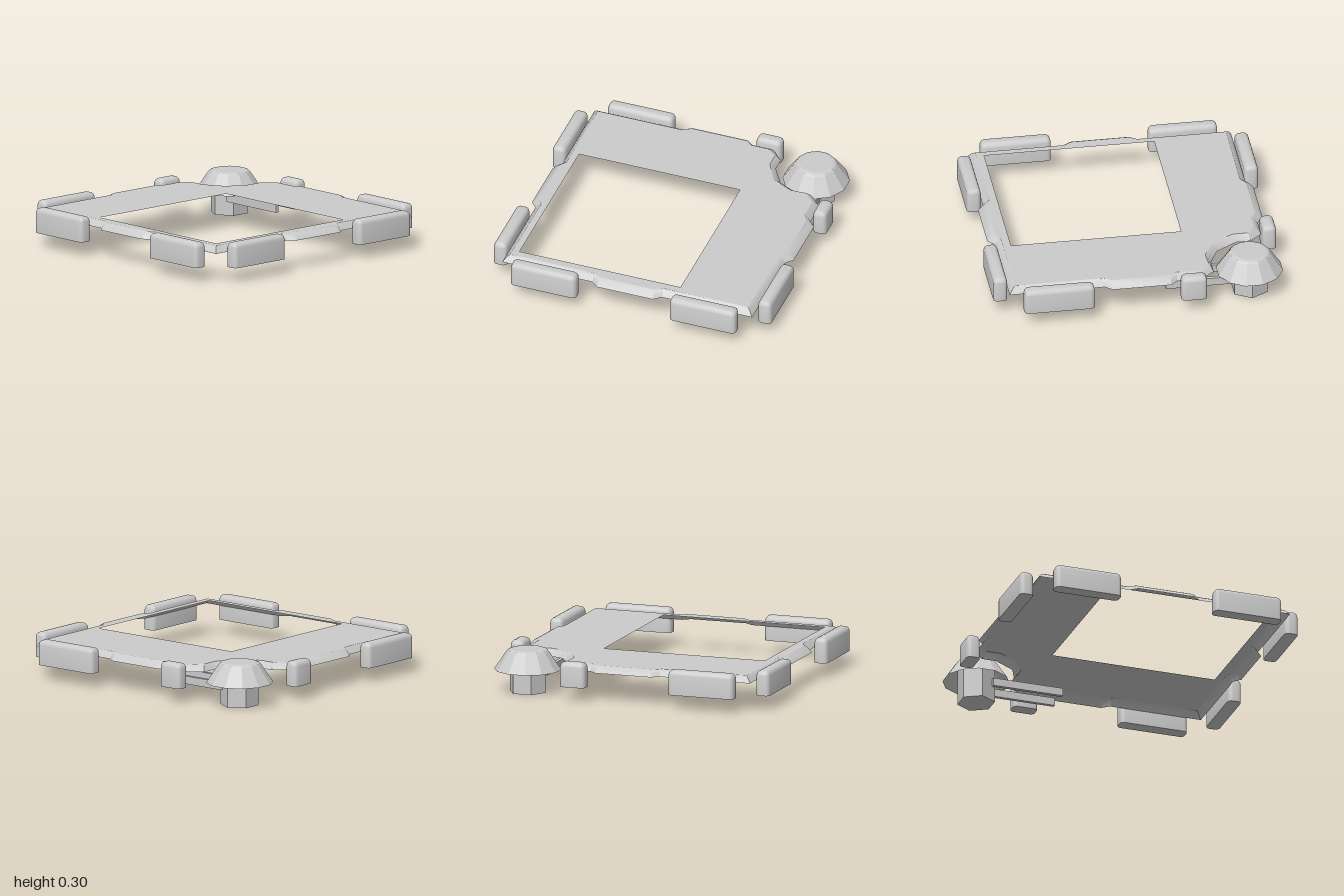
import * as THREE from 'three';
import { toCreasedNormals } from 'three/addons/utils/BufferGeometryUtils.js';

const grey = new THREE.MeshStandardMaterial({ color: 0xcccccc, side: THREE.DoubleSide });
const flatGrey = new THREE.MeshStandardMaterial({ color: 0xcccccc, side: THREE.DoubleSide, flatShading: true });

function part(group, name, geometry, material = grey) {
  const mesh = new THREE.Mesh(geometry, material);
  mesh.name = name;
  group.add(mesh);
  return mesh;
}

// Skin over closed rings of [x, y, z], listed from bottom to top, clockwise from above
function loft(rings, crease) {
  const pos = [];
  const n = rings[0].length;
  for (let r = 0; r < rings.length - 1; r++) {
    const a = rings[r], b = rings[r + 1];
    for (let i = 0; i < n; i++) {
      const j = (i + 1) % n;
      pos.push(...a[i], ...b[i], ...b[j], ...a[i], ...b[j], ...a[j]);
    }
  }
  const g = new THREE.BufferGeometry();
  g.setAttribute('position', new THREE.Float32BufferAttribute(pos, 3));
  g.computeVertexNormals();
  return toCreasedNormals(g, crease);
}

// Rounded rectangle ring centred on cx, cz
function roundedRing(cx, cz, w, d, r, y) {
  const ring = [];
  const corners = [[1, 1], [-1, 1], [-1, -1], [1, -1]];
  corners.forEach(([sx, sz], q) => {
    for (let k = 0; k <= 4; k++) {
      const a = (q + k / 4) * Math.PI / 2;
      ring.push([cx + sx * (w / 2 - r) + r * Math.cos(a), y, cz + sz * (d / 2 - r) + r * Math.sin(a)]);
    }
  });
  return ring;
}

// Upright pad with straight sides and a rounded top edge
function padGeometry(x0, x1, z0, z1) {
  const cx = (x0 + x1) / 2, cz = (z0 + z1) / 2, w = x1 - x0, d = z1 - z0;
  const ring = (inset, y) => roundedRing(cx, cz, w - 2 * inset, d - 2 * inset, Math.max(0.03 - inset * 0.8, 0.002), y);
  const centre = y => ring(0, y).map(() => [cx, y, cz]);
  return loft([centre(0.1), ring(0, 0.1), ring(0, 0.238), ring(0.005, 0.254),
    ring(0.016, 0.266), ring(0.03, 0.27), centre(0.27)], 0.7);
}

export function createModel() {
  const model = new THREE.Group();

  // Plate outline: lower edge and raised inner edge, one side turned four times
  const lower = [], upper = [];
  const lowerSide = [[-0.9, 0.9], [-0.25, 0.9], [-0.2, 0.943], [0.2, 0.943], [0.25, 0.9]];
  const upperSide = [[-0.857, 0.857], [-0.25, 0.857], [-0.2, 0.89], [0.2, 0.89], [0.25, 0.857]];
  // Notched corner around the knob
  const lowerNotch = [[0.40, -0.9], [0.475, -0.82], [0.475, -0.72], [0.57, -0.57], [0.70, -0.51], [0.82, -0.51], [0.9, -0.42]];
  const upperNotch = [[0.37, -0.857], [0.44, -0.8], [0.44, -0.7], [0.52, -0.55], [0.67, -0.475], [0.78, -0.48], [0.857, -0.4]];
  const turns = [(t, d) => [t, -d], (t, d) => [d, t], (t, d) => [-t, d], (t, d) => [-d, -t]];
  turns.forEach((turn, k) => {
    if (k === 1) {
      lower.push(...lowerNotch);
      upper.push(...upperNotch);
    }
    const start = k === 1 ? 1 : 0;
    lower.push(...lowerSide.slice(start).map(p => turn(...p)));
    upper.push(...upperSide.slice(start).map(p => turn(...p)));
  });

  // Flat top sheet with the square window
  const top = 0.245;
  const shape = new THREE.Shape(upper.map(([x, z]) => new THREE.Vector2(x, -z)));
  const hole = [[-0.81, -0.36], [0.35, -0.36], [0.35, 0.805], [-0.81, 0.805]];
  shape.holes.push(new THREE.Path(hole.map(([x, z]) => new THREE.Vector2(x, -z))));
  const sheet = new THREE.ShapeGeometry(shape);
  sheet.rotateX(-Math.PI / 2);
  sheet.translate(0, top, 0);
  part(model, 'topPlate', sheet);

  // Sloping rim
  const at = (points, y) => points.map(([x, z]) => [x, y, z]);
  const middle = lower.map(([x, z], i) => [x + (upper[i][0] - x) * 0.55, z + (upper[i][1] - z) * 0.55]);
  part(model, 'slopedRim', loft([at(lower, 0.2), at(middle, 0.232), at(upper, top)], 0.5));

  // Edge pads
  const pads = [
    ['frontPad', -0.81, -0.34, 0.9, 0.995], ['frontPad', 0.335, 0.81, 0.9, 0.995],
    ['backPad', -0.81, -0.34, -1, -0.905], ['backPadShort', 0.26, 0.44, -1, -0.905],
    ['rightPad', -1, -0.905, -0.81, -0.34], ['rightPad', -1, -0.905, 0.33, 0.81],
    ['leftPadShort', 0.905, 1, -0.44, -0.265], ['leftPad', 0.905, 1, 0.33, 0.81],
  ];
  for (const [name, ...box] of pads) part(model, name, padGeometry(...box));

  // Corner knob: hollow twelve-sided cap on a hexagonal post
  const knob = new THREE.Group();
  knob.name = 'knob';
  knob.position.set(0.75, 0, -0.765);
  const profile = [[0.228, 0.155], [0.146, 0.277], [0.135, 0.29], [0.115, 0.296], [0, 0.296]];
  part(knob, 'knobCap', new THREE.LatheGeometry(profile.map(p => new THREE.Vector2(...p)), 12, Math.PI / 12), flatGrey);
  const post = part(knob, 'knobPost', new THREE.CylinderGeometry(0.13, 0.13, 0.27, 6), flatGrey);
  post.position.y = 0.135;
  post.rotation.y = Math.PI / 6;
  model.add(knob);

  // Two rails that carry the knob under the plate
  for (const x of [0.655, 0.82]) {
    part(model, 'knobRail', new THREE.BoxGeometry(0.025, 0.055, 0.5)).position.set(x, 0.1275, -0.43);
  }
  return model;
}
